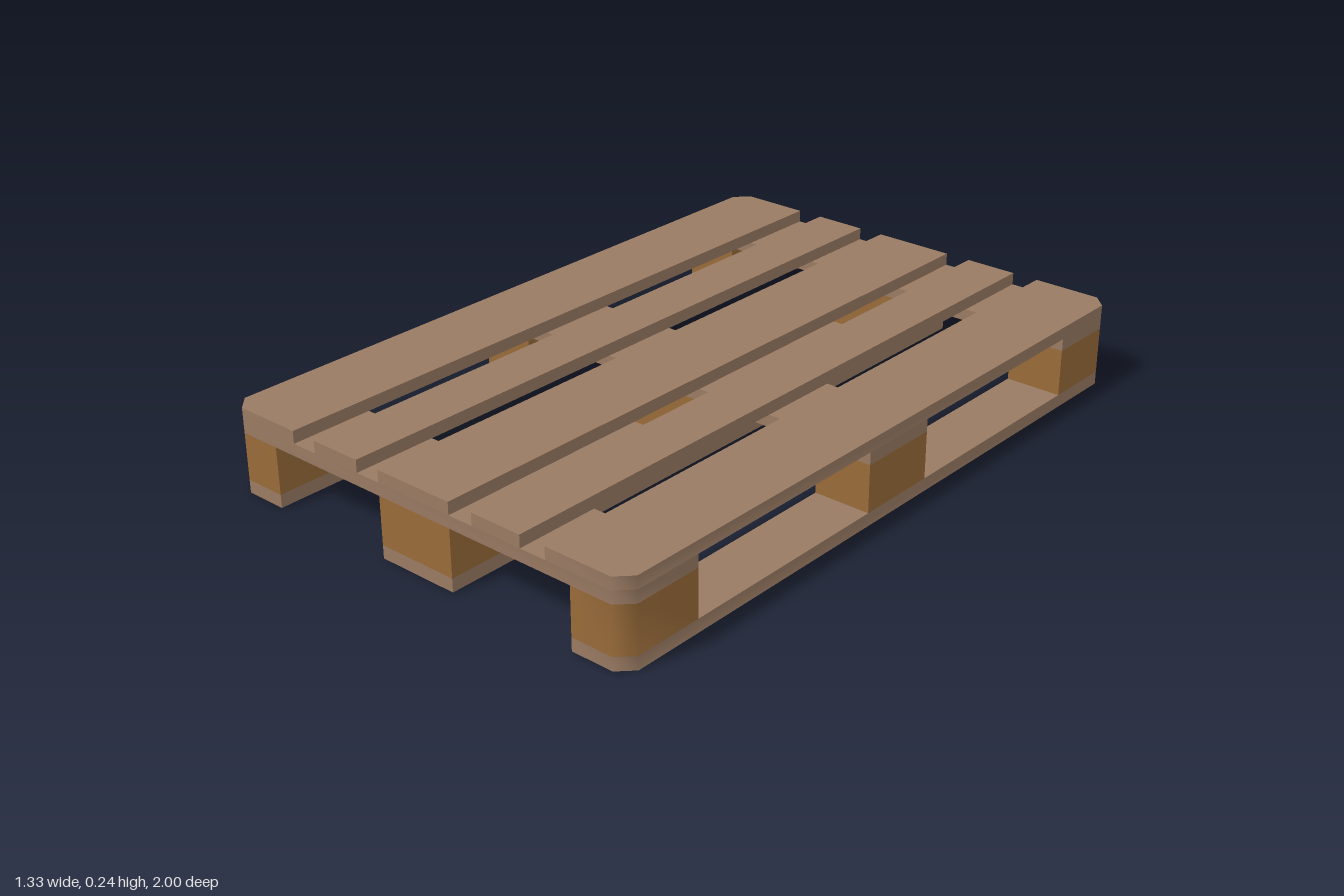
import * as THREE from 'three';
import { toCreasedNormals } from 'three/addons/utils/BufferGeometryUtils.js';

const W = 0.665, L = 1, CHAMFER = 0.04;
// Heights of the four layers
const Y = [0, 0.037, 0.17, 0.205, 0.24];

// Flat slab whose corners are cut off wherever they meet a corner of the pallet
function slabGeometry([x0, x1], [z0, z1], y0, y1) {
  const corners = [[x0, z0, 1, 1], [x1, z0, -1, 1], [x1, z1, -1, -1], [x0, z1, 1, -1]];
  const points = [];
  corners.forEach(([x, z, dx, dz], i) => {
    if (Math.abs(x) === W && Math.abs(z) === L) {
      const alongX = new THREE.Vector2(x + dx * CHAMFER, z);
      const alongZ = new THREE.Vector2(x, z + dz * CHAMFER);
      points.push(...(i % 2 ? [alongX, alongZ] : [alongZ, alongX]));
    } else {
      points.push(new THREE.Vector2(x, z));
    }
  });
  const geometry = new THREE.ExtrudeGeometry(new THREE.Shape(points), { depth: y1 - y0, bevelEnabled: false });
  geometry.rotateX(-Math.PI / 2).translate(0, y0, 0);
  return toCreasedNormals(geometry, Math.PI / 3.5);
}

export function createModel() {
  const boardWood = new THREE.MeshStandardMaterial({ color: 0x9a7b63 });
  boardWood.name = 'boardWood';
  const blockWood = new THREE.MeshStandardMaterial({ color: 0x996b3a });
  blockWood.name = 'blockWood';

  const pallet = new THREE.Group();
  pallet.name = 'pallet';
  const add = (name, xs, zs, layer, material) => {
    const mesh = new THREE.Mesh(slabGeometry(xs, zs, Y[layer], Y[layer + 1]), material);
    mesh.name = name;
    pallet.add(mesh);
  };

  const full = [-L, L];
  const columns = [[-W, -0.502], [-0.12, 0.12], [0.502, W]];
  const rows = [[-L, -0.76], [-0.12, 0.12], [0.76, L]];
  const deck = [[-W, -0.428], [-0.35, -0.196], [-0.12, 0.12], [0.196, 0.35], [0.428, W]];

  // Runners on the ground with three blocks on each
  columns.forEach((xs) => {
    add('bottomBoard', xs, full, 0, boardWood);
    rows.forEach((zs) => add('block', xs, zs, 1, blockWood));
  });
  // Cross boards, then the deck boards on top
  rows.forEach((zs) => add('crossBoard', [-W, W], zs, 2, boardWood));
  deck.forEach((xs) => add('deckBoard', xs, full, 3, boardWood));

  return pallet;
}
